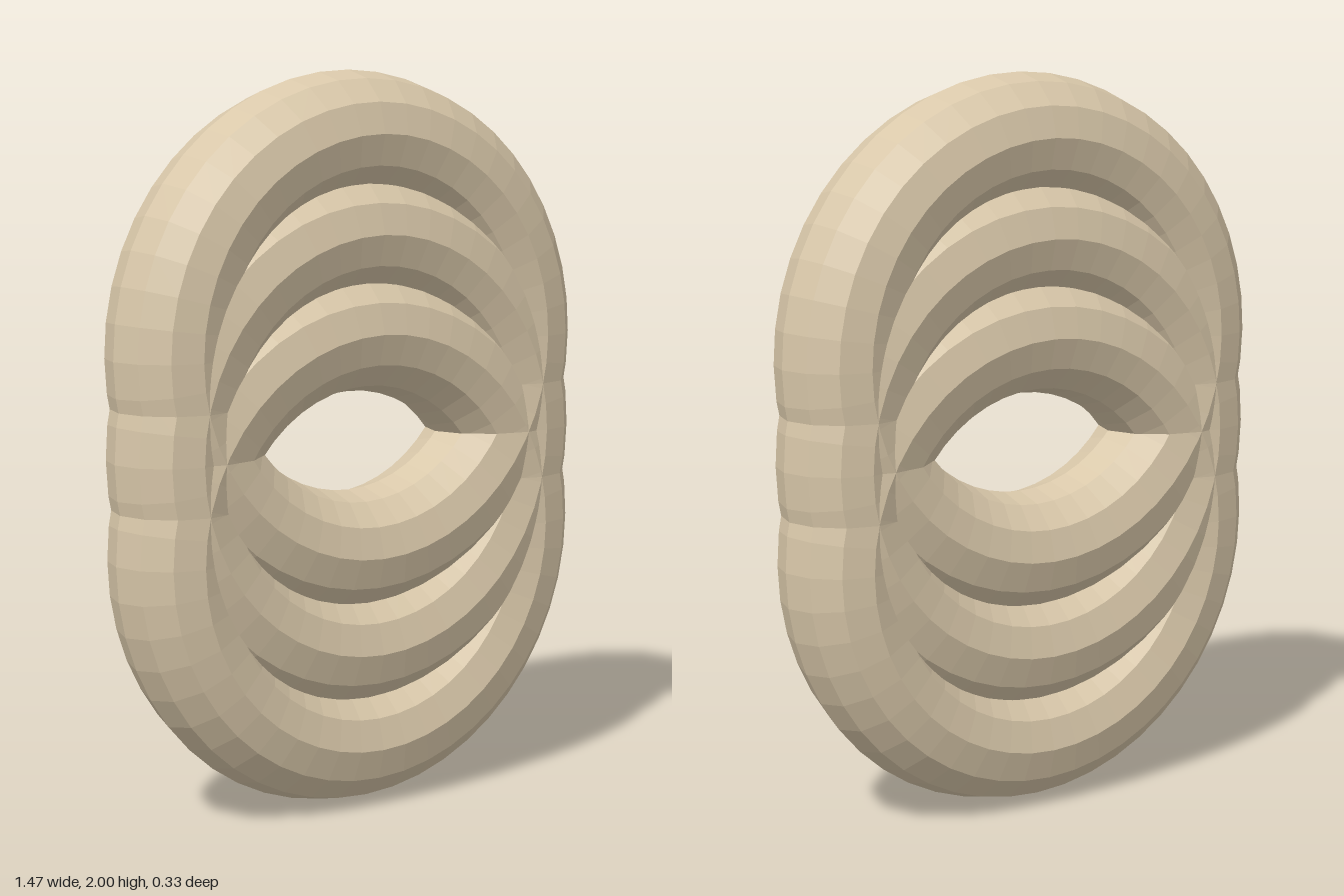
import * as THREE from 'three';

export function createModel() {
  const group = new THREE.Group();
  group.name = 'overlappingRings';

  const tan = new THREE.MeshStandardMaterial({ color: 0xd8c7a9, flatShading: true });
  tan.name = 'warm tan';

  // Three identical upright rings, stacked so that they run into each other
  const tube = 0.167, radius = 0.568, spacing = 0.265;
  const ringGeometry = new THREE.TorusGeometry(radius, tube, 12, 48);
  ['lowerRing', 'middleRing', 'upperRing'].forEach((name, i) => {
    const ring = new THREE.Mesh(ringGeometry, tan);
    ring.name = name;
    ring.position.y = 1 + (i - 1) * spacing;
    group.add(ring);
  });

  return group;
}
